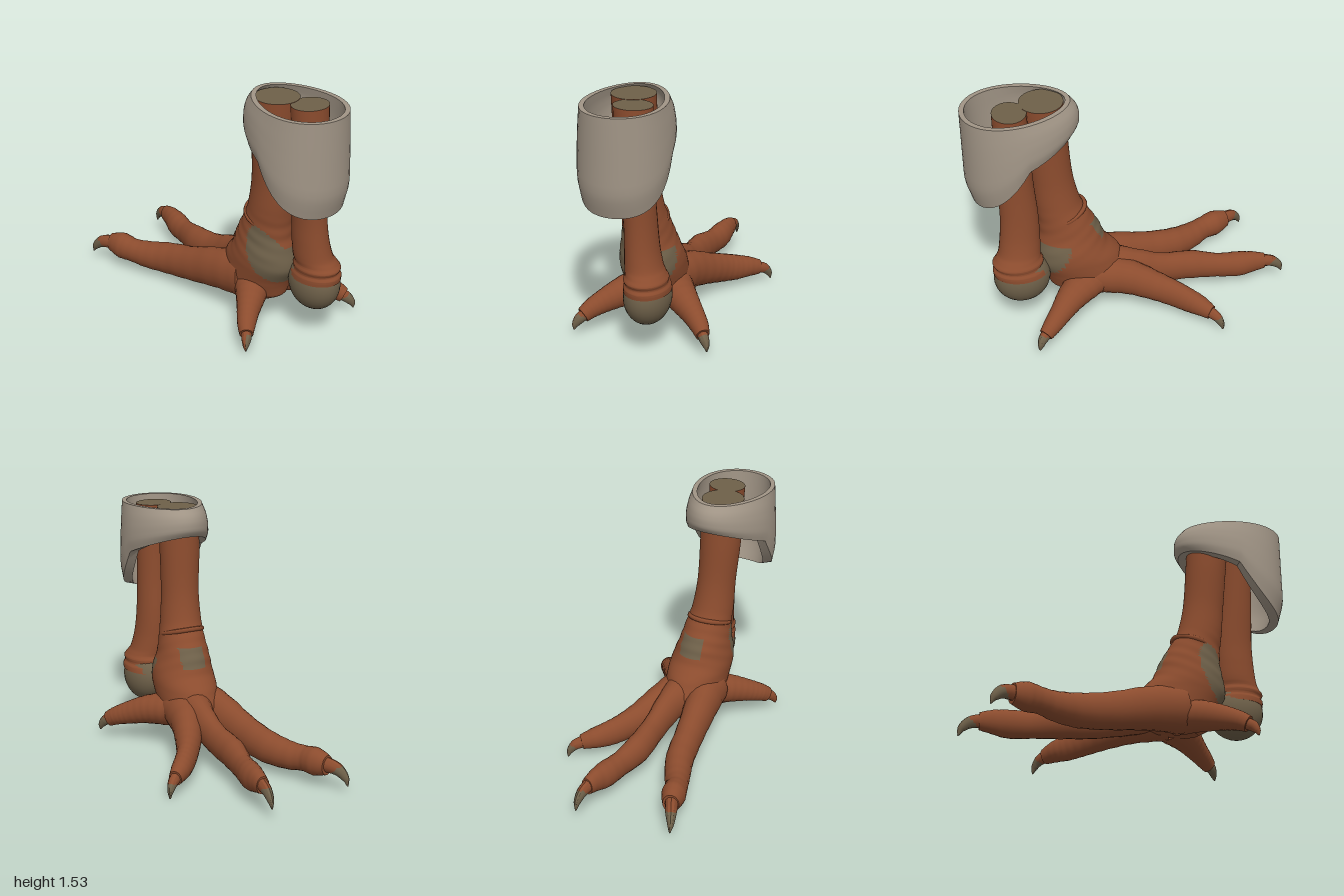
import * as THREE from 'three';
import { toCreasedNormals } from 'three/addons/utils/BufferGeometryUtils.js';

const V = (x, y, z) => new THREE.Vector3(x, y, z);
const UP = V(0, 1, 0);

const material = (name, color) => {
  const m = new THREE.MeshStandardMaterial({ color });
  m.name = name;
  return m;
};

// Skin through closed rings; pick(centroid) sends each triangle to material 0 or 1
function loft(rows, { pick = null, caps = true, crease = 0.5 } = {}) {
  const n = rows[0].length, pts = rows.flat(), lists = [[], []];
  const tri = (a, b, c) => {
    const mid = pts[a].clone().add(pts[b]).add(pts[c]).divideScalar(3);
    lists[pick && pick(mid) ? 1 : 0].push(a, b, c);
  };
  for (let i = 0; i < rows.length - 1; i++) {
    for (let j = 0; j < n; j++) {
      const k = (j + 1) % n, a = i * n + j, b = i * n + k;
      tri(a, b, a + n);
      tri(b, b + n, a + n);
    }
  }
  if (caps) {
    [0, rows.length - 1].forEach((r, end) => {
      const mid = rows[r].reduce((s, p) => s.add(p), V(0, 0, 0)).divideScalar(n);
      const c = pts.push(mid) - 1;
      for (let j = 0; j < n; j++) {
        const a = r * n + j, b = r * n + (j + 1) % n;
        if (end) tri(c, a, b); else tri(c, b, a);
      }
    });
  }
  const g = new THREE.BufferGeometry();
  g.setAttribute('position', new THREE.Float32BufferAttribute(pts.flatMap(p => [p.x, p.y, p.z]), 3));
  g.setIndex([...lists[0], ...lists[1]]);
  if (pick) {
    g.addGroup(0, lists[0].length, 0);
    g.addGroup(lists[0].length, lists[1].length, 1);
  }
  return toCreasedNormals(g, crease);
}

const ring = (c, u, v, n) => Array.from({ length: n }, (_, j) => {
  const a = j / n * Math.PI * 2;
  return c.clone().addScaledVector(u, Math.cos(a)).addScaledVector(v, Math.sin(a));
});

// Smoothly resample sections given as [x, y, z, halfWidth, halfHeight]
function resample(sections, steps) {
  const path = new THREE.CatmullRomCurve3(sections.map(s => V(s[0], s[1], s[2])));
  const size = new THREE.CatmullRomCurve3(sections.map(s => V(s[3], s[4], 0)));
  return Array.from({ length: steps + 1 }, (_, i) => {
    const t = i / steps, s = size.getPoint(t);
    return { t, c: path.getPoint(t), dir: path.getTangent(t), w: Math.max(s.x, 0.003), h: Math.max(s.y, 0.003) };
  });
}

// Limb lying along its path, with faint cross wrinkles
const limb = (sections, steps, n, wrinkle, options) => loft(resample(sections, steps).map(({ t, c, dir, w, h }) => {
  const side = UP.clone().cross(dir).normalize();
  const top = dir.clone().cross(side);
  const k = 1 + wrinkle * Math.sin(t * 75);
  return ring(c, side.multiplyScalar(w * k), top.multiplyScalar(h * k), n);
}), options);

// Upright column from rows of [y, centreX, centreZ, radiusX, radiusZ]
const column = (rows, steps, n, options, ripple = () => 1) =>
  loft(resample(rows.map(([y, x, z, rx, rz]) => [x, y, z, rx, rz]), steps).map(({ c, w, h }) => {
    return ring(c, V(0, 0, h), V(w, 0, 0), n).map(p => {
      const k = ripple(p);
      return V(c.x + (p.x - c.x) * k, p.y, c.z + (p.z - c.z) * k);
    });
  }), options);

export function createModel() {
  const skin = material('russet skin', 0x8c4c2e);
  const horn = material('olive horn', 0x6e6049);
  const cloth = material('pale cuff', 0xa19586);
  const model = new THREE.Group();
  model.name = 'clawedLeg';
  const add = (name, geometry, mat, parent = model) => {
    const m = new THREE.Mesh(geometry, mat);
    m.name = name;
    parent.add(m);
    return m;
  };

  // Main leg and ankle, with horn pads at heel and instep and a horn cut end
  const heelPad = p => ((p.x - 0.54 - (0.54 - p.y) * 0.35) / 0.13) ** 2 + ((p.y - 0.51) / 0.2) ** 2 < 1
    && p.y < Math.max(0.56, 0.58 + (p.z - 0.06) * 1.1);
  const instepPad = p => p.x < 0.3 && Math.abs(p.y - 0.6) < 0.065 && Math.abs(p.z - 0.02) < 0.08;
  const ripple = p => {
    const fade = Math.max(0, 1 - Math.abs(p.y - 0.62) / 0.22);
    return 1 + 0.012 * fade * Math.sin((p.y + p.x * 0.5) * 75);
  };
  add('mainLeg', column([
    [0.15, 0.3, 0.03, 0.13, 0.07], [0.21, 0.28, 0.02, 0.24, 0.15], [0.3, 0.285, 0.02, 0.265, 0.185],
    [0.4, 0.335, 0.02, 0.27, 0.19], [0.5, 0.375, 0.025, 0.225, 0.185], [0.6, 0.385, 0.035, 0.193, 0.16],
    [0.7, 0.412, 0.04, 0.164, 0.142], [0.8, 0.445, 0.05, 0.142, 0.13], [1.0, 0.475, 0.06, 0.127, 0.12],
    [1.25, 0.495, 0.07, 0.128, 0.128], [1.522, 0.518, 0.07, 0.132, 0.131],
  ], 80, 48, { pick: p => p.y > 1.5215 || heelPad(p) || instepPad(p) }, ripple), [skin, horn]);

  // Skin fold slanting round the front of the ankle, its ends sinking into the leg
  const fold = new THREE.CatmullRomCurve3(Array.from({ length: 9 }, (_, i) => {
    const a = Math.PI * (0.35 + 1.3 * i / 8), r = i % 8 ? 1 : 0.88;
    return V(0.425 + 0.145 * r * Math.cos(a), 0.72 - 0.05 * Math.cos(a), 0.045 + 0.131 * r * Math.sin(a));
  }));
  add('ankleFold', new THREE.TubeGeometry(fold, 30, 0.015, 6), skin);

  // Second leg with a double collar over a rounded horn stump
  add('rearLeg', column([
    [0.41, 0.716, -0.08, 0.173, 0.138], [0.44, 0.724, -0.08, 0.168, 0.136], [0.465, 0.728, -0.078, 0.152, 0.125],
    [0.488, 0.733, -0.077, 0.158, 0.13], [0.515, 0.73, -0.073, 0.142, 0.119], [0.55, 0.718, -0.06, 0.132, 0.112],
    [0.65, 0.707, -0.045, 0.124, 0.102], [0.8, 0.702, -0.035, 0.117, 0.096], [1.05, 0.712, -0.02, 0.109, 0.1],
    [1.52, 0.72, -0.003, 0.102, 0.116],
  ], 54, 28, { pick: p => p.y > 1.5195 }), [skin, horn]);
  const stump = add('roundStump', new THREE.SphereGeometry(1, 28, 18), horn);
  stump.scale.set(0.177, 0.175, 0.14);
  stump.position.set(0.712, 0.368, -0.078);

  // Toes and spurs, each with its curved claw and the length of horn at the tip
  const toes = {
    leftToe: [
      [[0.3, 0.28, 0.1, 0.13, 0.15], [0.1, 0.25, 0.15, 0.105, 0.135], [-0.15, 0.19, 0.2, 0.088, 0.115],
        [-0.35, 0.155, 0.245, 0.086, 0.105], [-0.5, 0.14, 0.31, 0.078, 0.09], [-0.6, 0.145, 0.36, 0.067, 0.08],
        [-0.68, 0.15, 0.385, 0.073, 0.088], [-0.77, 0.15, 0.415, 0.05, 0.063]],
      [[-0.74, 0.155, 0.405, 0.042, 0.05], [-0.83, 0.14, 0.45, 0.034, 0.04],
        [-0.88, 0.095, 0.475, 0.02, 0.025], [-0.9, 0.05, 0.48, 0.004, 0.004]], 0.125],
    middleToe: [
      [[0.2, 0.31, 0, 0.13, 0.13], [0, 0.255, -0.025, 0.085, 0.12], [-0.2, 0.2, -0.028, 0.07, 0.102],
        [-0.4, 0.175, -0.022, 0.075, 0.1], [-0.58, 0.155, -0.05, 0.062, 0.085], [-0.7, 0.155, -0.07, 0.068, 0.088],
        [-0.8, 0.165, -0.085, 0.053, 0.075], [-0.88, 0.165, -0.093, 0.04, 0.055]],
      [[-0.85, 0.17, -0.09, 0.037, 0.045], [-0.93, 0.155, -0.097, 0.03, 0.038],
        [-0.98, 0.115, -0.1, 0.02, 0.025], [-1, 0.065, -0.1, 0.004, 0.004]], 0.125],
    rightToe: [
      [[0.25, 0.27, -0.05, 0.13, 0.13], [0.05, 0.24, -0.11, 0.1, 0.12], [-0.12, 0.185, -0.185, 0.08, 0.1],
        [-0.23, 0.15, -0.25, 0.066, 0.092], [-0.3, 0.13, -0.305, 0.062, 0.084],
        [-0.36, 0.118, -0.36, 0.058, 0.07], [-0.42, 0.1, -0.425, 0.04, 0.05]],
      [[-0.4, 0.105, -0.405, 0.036, 0.042], [-0.445, 0.085, -0.455, 0.03, 0.034],
        [-0.47, 0.045, -0.482, 0.018, 0.022], [-0.48, 0.004, -0.49, 0.004, 0.004]], 0.09],
  };
  // The two rear spurs mirror each other across z
  for (const [name, s, shift] of [['frontSpur', 1, 0], ['backSpur', -1, 0.02]]) {
    const flip = rows => rows.map(([x, y, z, w, h]) => [x, y, s * (z + shift), w, h]);
    toes[name] = [
      flip([[0.28, 0.25, 0.05, 0.13, 0.11], [0.42, 0.225, 0.17, 0.095, 0.095], [0.52, 0.185, 0.27, 0.068, 0.075],
        [0.59, 0.15, 0.335, 0.055, 0.06], [0.635, 0.12, 0.37, 0.042, 0.05]]),
      flip([[0.61, 0.135, 0.35, 0.034, 0.04], [0.655, 0.105, 0.385, 0.03, 0.034],
        [0.675, 0.07, 0.405, 0.018, 0.022], [0.682, 0.04, 0.41, 0.004, 0.004]]), 0.1,
    ];
  }
  for (const [name, [toe, claw, length]] of Object.entries(toes)) {
    const group = new THREE.Group();
    group.name = name;
    model.add(group);
    add(name + 'Flesh', limb(toe, 44, 20, 0.012), skin, group);
    // Horn covers the tip; on the front spur only its inner side
    const tip = V(...claw[3]);
    const pick = p => p.distanceTo(tip) < length && (name !== 'frontSpur' || p.x - p.z > 0.272);
    add(name + 'Claw', limb(claw, 18, 12, 0, { pick }), [skin, horn], group);
  }

  // Hollow cuff: rings go down the outside, round the hem and back up the thicker inside
  const hem = c => (c < 0 ? 1.23 - 0.13 * c : 1.23 - 0.52 * c + 0.22 * c * c);
  const widths = new THREE.CatmullRomCurve3([
    V(0.325, 0.24, 0.675), V(0.343, 0.256, 0.657), V(0.35, 0.266, 0.65), V(0.35, 0.27, 0.65), V(0.318, 0.258, 0.645),
  ]);
  const cuffRing = (t, inset) => Array.from({ length: 48 }, (_, j) => {
    const a = j / 48 * Math.PI * 2, c = Math.cos(a), s = Math.sin(a), w = widths.getPoint(t);
    const top = 1.53 - 0.005 * c;
    return V(w.z + (w.x - inset) * c, top + (hem(c) - top) * t, 0.05 + (w.y - inset) * s + 0.035 * c * s);
  });
  const down = Array.from({ length: 13 }, (_, i) => i / 12);
  const cuffRows = [
    ...down.map(t => cuffRing(t, 0)),
    ...down.slice().reverse().map(t => cuffRing(t, 0.03 + 0.03 * t)),
    cuffRing(0, 0),
  ];
  add('cuff', loft(cuffRows, { caps: false, crease: 0.6 }), cloth);

  return model;
}
